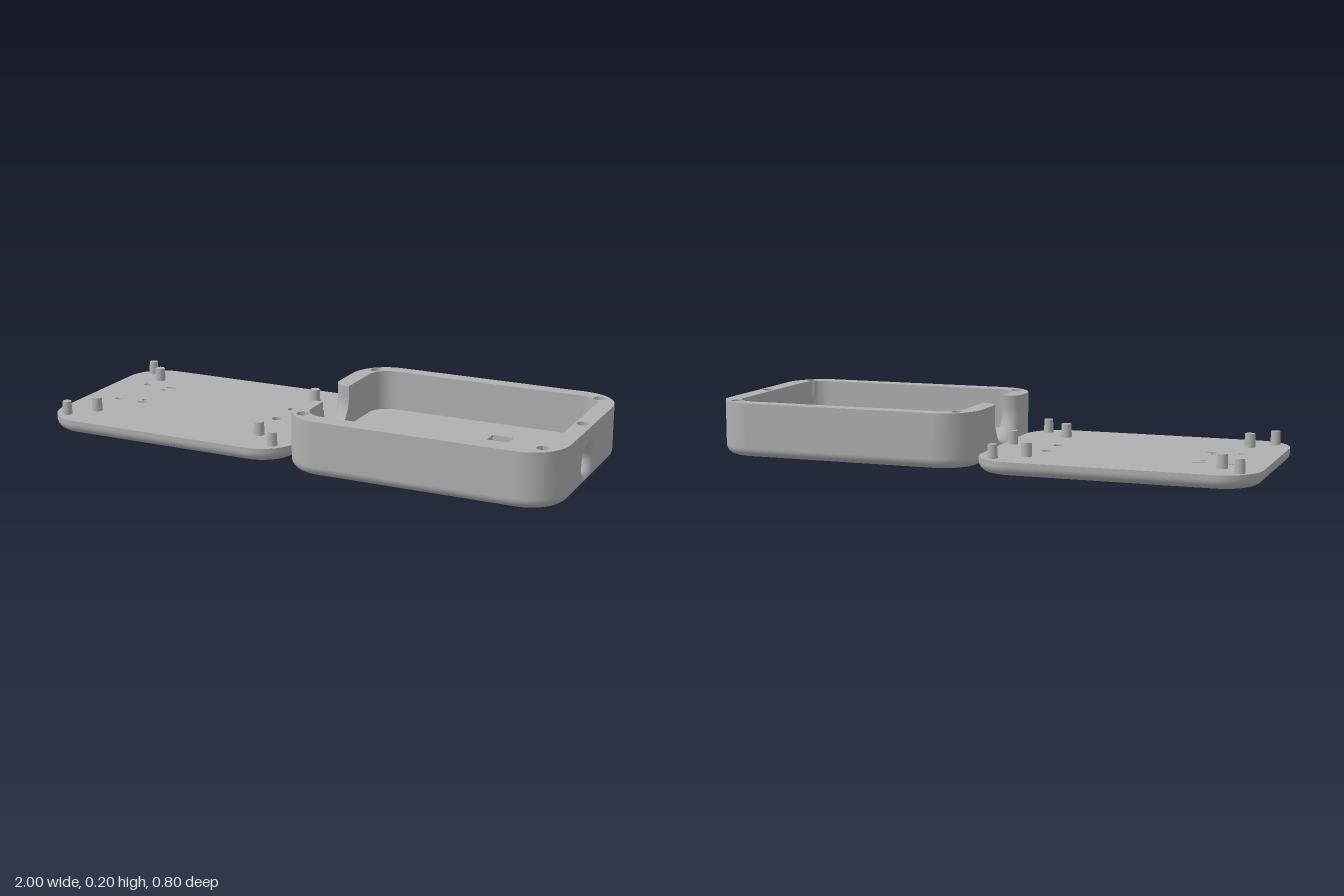
import * as THREE from 'three';

const TOP = 0.197, FLOOR = 0.05, Q = 0.035, WALL = 0.062;
const OUTER = { x0: 0.005, x1: 1, z0: -0.352, z1: 0.398, r: 0.14 };
const CAVITY = { x0: 0.067, x1: 0.938, z0: -0.297, z1: 0.334, r: 0.075 };
const LID = { x0: -1, x1: -0.008, z0: -0.398, z1: 0.352, r: 0.14 };
const NOTCH = { zc: 0.062, yc: 0.156, r: 0.106, f: 0.05, open: true };
const PORT = { zc: 0.062, yc: 0.08, r: 0.038, f: 0.04, open: false };

const v2 = (x, y) => new THREE.Vector2(x, y);
const range = (n, fn) => Array.from({ length: n + 1 }, (_, i) => fn(i / n));

// Half outline of a rounded rectangle in x,z (s = 1 front, -1 back), running from low x to high x
function half(b, inset, s) {
  const r = b.r - inset, cz = s > 0 ? b.z1 - b.r : b.z0 + b.r;
  const arc = (cx, a0) => range(14, t => {
    const a = a0 - t * Math.PI / 2;
    return v2(cx + r * Math.cos(a), cz + s * r * Math.sin(a));
  });
  return [...arc(b.x0 + b.r, Math.PI), ...arc(b.x1 - b.r, Math.PI / 2)];
}
const outline = (b, inset = 0) => [...half(b, inset, 1), ...half(b, inset, -1).reverse()];
const oval = (x, z, rx, rz = rx) => range(24, t =>
  v2(x + rx * Math.cos(t * 2 * Math.PI), z + rz * Math.sin(t * 2 * Math.PI)));
const rect = (x0, x1, z0, z1) => [v2(x0, z0), v2(x1, z0), v2(x1, z1), v2(x0, z1), v2(x0, z0)];
const at = (pts, y) => pts.map(p => new THREE.Vector3(p.x, y, p.y));

// Smooth skin through equal-length rows of points
function loft(rows) {
  const n = rows[0].length, index = [];
  for (let j = 0; j < rows.length - 1; j++) for (let i = 0; i < n - 1; i++) {
    const a = j * n + i, b = a + n;
    index.push(a, b, a + 1, b, b + 1, a + 1);
  }
  const g = new THREE.BufferGeometry().setFromPoints(rows.flat());
  g.setIndex(index);
  g.computeVertexNormals();
  return g;
}

// Flat face at height y
function face(pts, y, holes = []) {
  const s = new THREE.Shape(pts);
  s.holes = holes.map(h => new THREE.Path(h));
  return new THREE.ShapeGeometry(s).rotateX(Math.PI / 2).translate(0, y, 0);
}

// Heights and insets of a side wall with a rounded bottom edge
const wallProfile = top => [...range(8, t => {
  const a = t * Math.PI / 2;
  return [Q - Q * Math.cos(a), Q - Q * Math.sin(a)];
}), [top, 0]];

// Depth of the rounded bottom edge at height y, and radius of a flared opening at depth d
const edgeDepth = y => y >= Q ? 0 : Q - Math.sqrt(Q * Q - (Q - Math.max(y, 0)) ** 2);
const flare = (o, d) => d >= o.f ? o.r : o.r + o.f - Math.sqrt(o.f ** 2 - (o.f - d) ** 2);

// End wall with a flared opening: outer skin and the throat through the wall
function endWall(x, dir, o) {
  const z0 = OUTER.z0 + OUTER.r, z1 = OUTER.z1 - OUTER.r;
  const ys = [...range(3, t => TOP + (o.yc - TOP) * t),
    ...range(10, t => o.yc + (Q - o.yc) * t).slice(1),
    ...wallProfile(TOP).slice(0, 8).reverse().map(p => p[0])];
  const edge = [...ys.map(y => v2(z0, y)), ...range(60, t => v2(z0 + (z1 - z0) * t, 0)).slice(1),
    ...ys.slice(0, -1).reverse().map(y => v2(z1, y))];
  if (!o.open) edge.push(...range(60, t => v2(z1 + (z0 - z1) * t, TOP)).slice(1));
  const rays = edge.map(e => {
    const c = v2(o.zc, o.open && e.y > o.yc ? e.y : o.yc);
    const n = e.clone().sub(c).normalize();
    const pos = d => c.clone().addScaledVector(n, flare(o, d));
    let lo = 0, hi = o.f;
    if (edgeDepth(pos(0).y) <= 0) hi = 0;
    else for (let k = 0; k < 30; k++) {
      const m = (lo + hi) / 2;
      if (m < edgeDepth(pos(m).y)) lo = m; else hi = m;
    }
    return { e, pos, d0: hi };
  });
  const skin = range(12, t => rays.map(q => {
    const p = q.e.clone().lerp(q.pos(q.d0), t);
    return new THREE.Vector3(x + dir * edgeDepth(p.y), p.y, p.x);
  }));
  const throat = [...range(10, t => t * t), 2].map(t => rays.map(q => {
    const d = t > 1 ? WALL : q.d0 + (o.f - q.d0) * t, p = q.pos(d);
    return new THREE.Vector3(x + dir * d, p.y, p.x);
  }));
  return [loft(skin), loft(throat)];
}

export function createModel() {
  const grey = new THREE.MeshStandardMaterial({ color: 0xb0b0b0, side: THREE.DoubleSide });
  grey.name = 'plain grey';
  const model = new THREE.Group(), base = new THREE.Group(), lid = new THREE.Group();
  base.name = 'caseBase';
  lid.name = 'caseLid';
  model.add(base, lid);
  const add = (group, name, geo) => {
    const m = new THREE.Mesh(geo, grey);
    m.name = name;
    group.add(m);
    return m;
  };
  // Blind or through hole lining
  const pit = (group, name, pts, y0, y1, closed) => {
    add(group, name, loft([at(pts, y0), at(pts, y1)]));
    if (closed) add(group, name + 'Bottom', face(pts, y0));
  };

  // Base: front and back halves of the outer and inner walls
  for (const s of [1, -1]) {
    const side = s > 0 ? 'front' : 'back';
    add(base, side + 'OuterWall', loft(wallProfile(TOP).map(([y, d]) => at(half(OUTER, d, s), y))));
    add(base, side + 'InnerWall', loft([FLOOR, TOP].map(y => at(half(CAVITY, 0, s), y))));
  }

  // Base: end walls with the open notch and the round port
  for (const [name, x, dir, o] of [['notch', OUTER.x0, 1, NOTCH], ['port', OUTER.x1, -1, PORT]]) {
    const [skin, throat] = endWall(x, dir, o);
    add(base, name + 'EndWall', skin);
    add(base, name + 'Throat', throat);
  }

  // Base: inner faces of the end walls
  const zi0 = CAVITY.z0 + CAVITY.r, zi1 = CAVITY.z1 - CAVITY.r;
  const upright = (shape, x) => new THREE.ShapeGeometry(shape, 24).rotateY(-Math.PI / 2).translate(x, 0, 0);
  const a0 = Math.asin((FLOOR - PORT.yc) / PORT.r);
  const portFace = new THREE.Shape().moveTo(zi0, FLOOR);
  portFace.absarc(PORT.zc, PORT.yc, PORT.r, Math.PI - a0, a0, true);
  portFace.lineTo(zi1, FLOOR).lineTo(zi1, TOP).lineTo(zi0, TOP);
  add(base, 'portInnerFace', upright(portFace, CAVITY.x1));
  for (const [s, z] of [[-1, zi0], [1, zi1]]) {
    const f = new THREE.Shape([v2(z, FLOOR), ...range(20, t => v2(
      NOTCH.zc + s * NOTCH.r * Math.sin(t * Math.PI / 2),
      NOTCH.yc - NOTCH.r * Math.cos(t * Math.PI / 2))),
    v2(NOTCH.zc + s * NOTCH.r, TOP), v2(z, TOP)]);
    add(base, 'notchInnerFace', upright(f, CAVITY.x0));
  }

  // Base: floor with a square window, two round holes and a groove
  const cuts = [rect(0.58, 0.66, -0.163, -0.104), oval(0.8, 0, 0.03), oval(0.8, 0.12, 0.03)];
  const gw = PORT.r * Math.cos(a0), gx = 0.655;
  const groove = rect(gx, CAVITY.x1 - 0.001, PORT.zc - gw, PORT.zc + gw);
  add(base, 'floor', face(outline(CAVITY), FLOOR, [...cuts, groove]));
  add(base, 'underside', face(outline(OUTER, Q), 0, cuts));
  cuts.forEach(c => pit(base, 'floorHole', c, 0, FLOOR, false));
  const grooveArc = (x, flat) => range(10, t => {
    const a = Math.PI - a0 + t * (Math.PI + 2 * a0);
    return new THREE.Vector3(x, flat ? FLOOR : PORT.yc + PORT.r * Math.sin(a), PORT.zc + PORT.r * Math.cos(a));
  });
  add(base, 'groove', loft([grooveArc(gx), grooveArc(CAVITY.x1)]));
  add(base, 'grooveEnd', loft([grooveArc(gx, true), grooveArc(gx)]));

  // Base: top rim, open at the notch, with peg sockets
  const lip = s => range(14, t => v2(OUTER.x0 + WALL * t * t, NOTCH.zc + s * flare(NOTCH, WALL * t * t)));
  const rim = [...lip(1).reverse(), ...outline(OUTER), ...lip(-1), ...outline(CAVITY).reverse()];
  const sockets = [[0.067, -0.29], [0.929, -0.29], [0.067, 0.327], [0.929, 0.327], [0.966, 0.02]]
    .map(([x, z]) => oval(x, z, 0.022));
  add(base, 'rim', face(rim, TOP, sockets));
  sockets.forEach(c => pit(base, 'pegSocket', c, 0.14, TOP, true));

  // Lid: plate with a rounded lower edge and shallow holes
  const dimples = [[-0.206, -0.13, 0.018, 0.018], [-0.206, 0, 0.018, 0.018],
    [-0.869, -0.18, 0.017, 0.01], [-0.762, -0.18, 0.023, 0.01], [-0.773, -0.142, 0.01, 0.01],
    [-0.773, 0.005, 0.01, 0.01], [-0.762, 0.035, 0.023, 0.01], [-0.869, 0.035, 0.017, 0.01]]
    .map(d => oval(...d));
  const closed = inset => { const p = outline(LID, inset); return [...p, p[0]]; };
  add(lid, 'lidEdge', loft(wallProfile(FLOOR).map(([y, d]) => at(closed(d), y))));
  add(lid, 'lidUnderside', face(outline(LID, Q), 0));
  add(lid, 'lidTop', face(outline(LID), FLOOR, dimples));
  dimples.forEach(c => pit(lid, 'lidHole', c, 0.02, FLOOR, true));

  // Lid: tapered corner pegs and straight board posts
  const peg = (name, x, z, r0, r1) =>
    add(lid, name, new THREE.CylinderGeometry(r1, r0, 0.052, 24)).position.set(x, 0.073, z);
  for (const x of [-0.936, -0.077]) for (const z of [-0.333, 0.282]) peg('cornerPeg', x, z, 0.019, 0.016);
  peg('edgePeg', -0.043, -0.027, 0.019, 0.016);
  for (const x of [-0.861, -0.175]) for (const z of [-0.259, 0.195]) peg('boardPost', x, z, 0.02, 0.018);

  return model;
}
